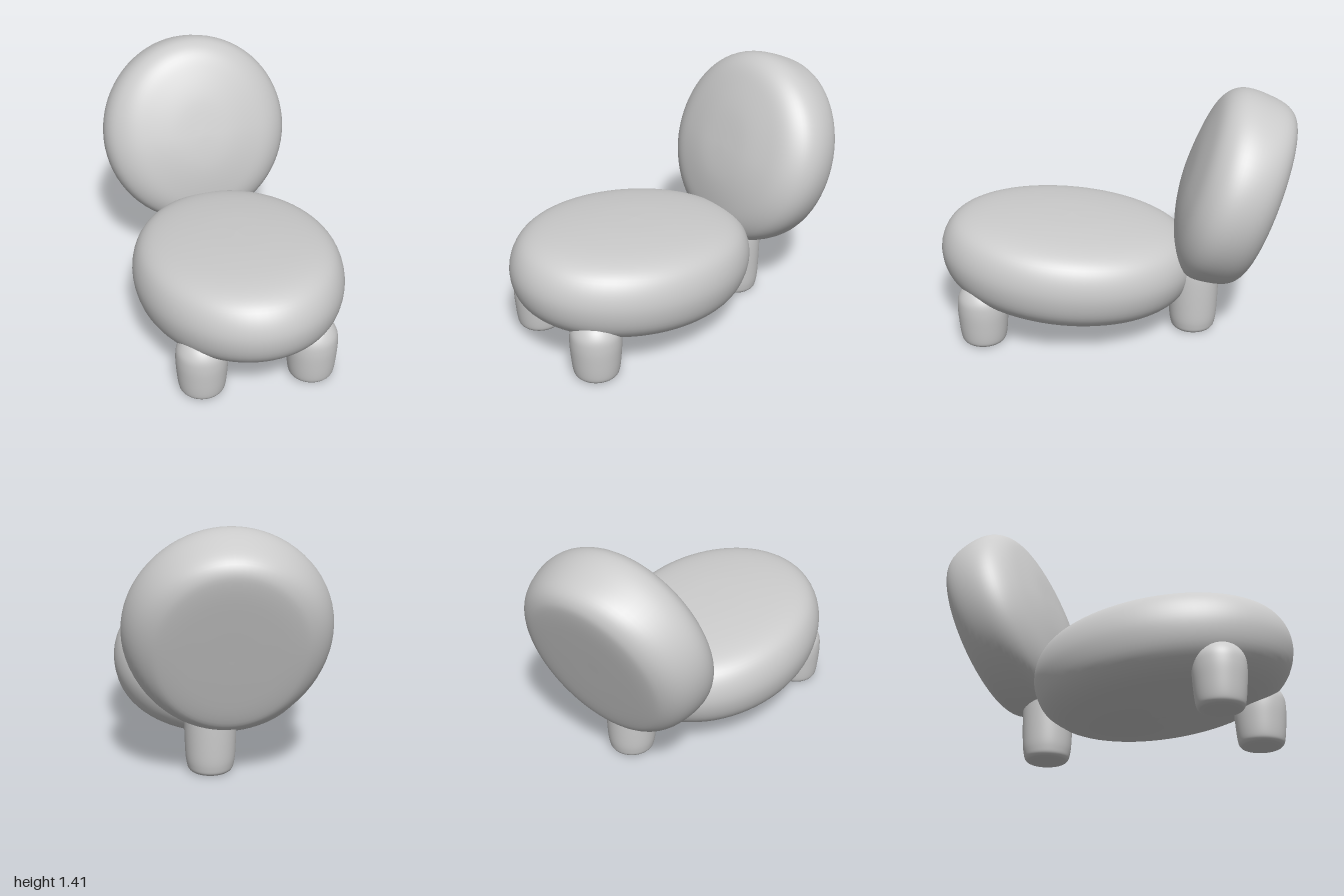
import * as THREE from 'three';
import { mergeVertices } from 'three/addons/utils/BufferGeometryUtils.js';

const material = new THREE.MeshStandardMaterial({ color: 0xcccccc, roughness: 0.8 });

// Smooth solid of revolution from a few [radius, height] profile points, bottom to top
function turned(name, points, samples = 48) {
  const curve = new THREE.SplineCurve(points.map(([r, y]) => new THREE.Vector2(r, y)));
  const profile = curve.getPoints(samples);
  profile.forEach((p) => { p.x = Math.max(p.x, 0); });
  const mesh = new THREE.Mesh(new THREE.LatheGeometry(profile, 72), material);
  mesh.name = name;
  return mesh;
}

// Narrows the back cushion's faces sideways and thins its lower front
function shapeBack(mesh) {
  const geometry = mesh.geometry;
  const pos = geometry.attributes.position;
  for (let i = 0; i < pos.count; i++) {
    const y = pos.getY(i);
    const low = Math.max(0, pos.getZ(i));
    pos.setX(i, pos.getX(i) * (1 - 0.15 * (y / 0.24) ** 2));
    if (y > 0) pos.setY(i, y * (1 - low * low));
  }
  geometry.deleteAttribute('uv');
  geometry.deleteAttribute('normal');
  mesh.geometry = mergeVertices(geometry);
  mesh.geometry.computeVertexNormals();
}

export function createModel() {
  const group = new THREE.Group();
  group.name = 'roundLoungeChair';

  // Oval seat cushion, front edge tipped up
  const seat = turned('seatCushion', [
    [0, -0.27], [0.2, -0.267], [0.35, -0.25], [0.47, -0.208], [0.55, -0.125], [0.583, 0],
    [0.566, 0.115], [0.51, 0.195], [0.4, 0.238], [0.2, 0.262], [0, 0.268],
  ]);
  seat.scale.z = 1.255;
  seat.position.set(0, 0.41, 0.27);
  seat.rotation.x = -0.09;
  group.add(seat);

  // Round back cushion, leaning backwards, flatter on its rear face
  const back = turned('backCushion', [
    [0, -0.24], [0.2, -0.24], [0.4, -0.235], [0.485, -0.213], [0.532, -0.15], [0.55, -0.03],
    [0.55, 0.07], [0.525, 0.14], [0.465, 0.192], [0.36, 0.222], [0.2, 0.245], [0, 0.25],
  ]);
  shapeBack(back);
  back.scale.z = 1.015;
  back.position.set(0, 0.855, -0.638);
  back.rotation.x = Math.PI / 2 - 0.325;
  group.add(back);

  // Three stout legs with softened feet, their domed tops sunk into the cushions
  const legs = [
    ['frontLeftLeg', 0.285, 0.737, 0.36],
    ['frontRightLeg', -0.33, 0.695, 0.36],
    ['rearLeg', 0.075, -0.457, 0.48],
  ];
  for (const [name, x, z, height] of legs) {
    const leg = turned(name, [
      [0, 0], [0.05, 0], [0.098, 0.002], [0.118, 0.012], [0.129, 0.04], [0.138, 0.12],
      [0.143, height - 0.14], [0.132, height - 0.07], [0.085, height - 0.015], [0, height],
    ]);
    leg.position.set(x, 0, z);
    group.add(leg);
  }

  return group;
}
